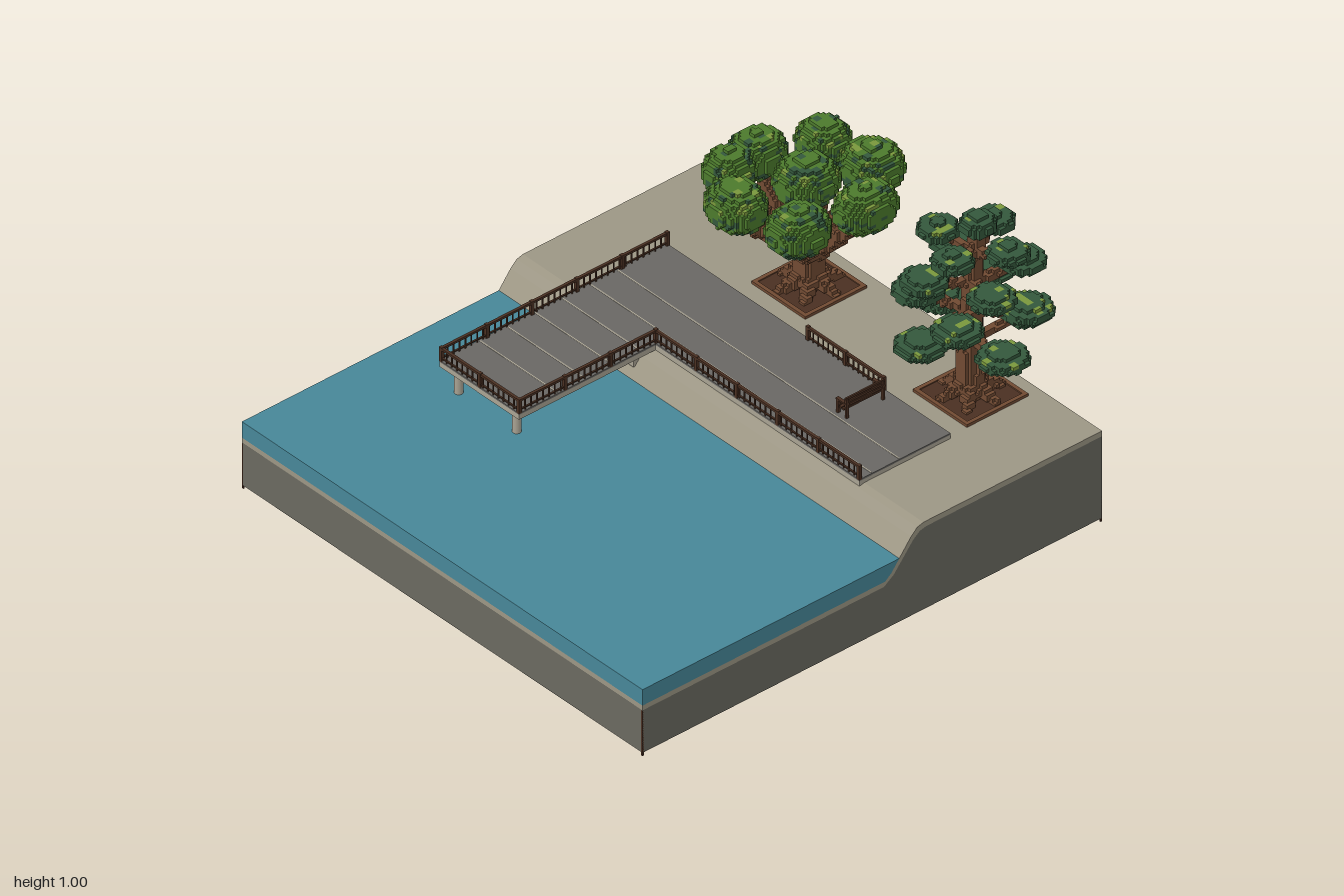
import * as THREE from 'three';

const mat = (name, color) => Object.assign(new THREE.MeshStandardMaterial({ color }), { name });
const M = {
  water: mat('water', 0x478798), sand: mat('sand', 0x9c9684), stone: mat('stone', 0x6a6960),
  deck: mat('deck', 0x696763), pale: mat('pale concrete', 0xaaa494), wood: mat('dark wood', 0x4a3022),
  bark: mat('bark', 0x704a32), leaf: mat('leaf green', 0x4c7a2c), pine: mat('pine green', 0x34583c),
  tip: mat('leaf tips', 0x7a983c),
};

function add(parent, name, geometry, material, x = 0, y = 0, z = 0) {
  const m = new THREE.Mesh(geometry, material);
  m.name = name;
  m.position.set(x, y, z);
  parent.add(m);
  return m;
}

// Box given by its minimum and maximum on each axis
function box(parent, name, material, x0, x1, y0, y1, z0, z1) {
  return add(parent, name, new THREE.BoxGeometry(x1 - x0, y1 - y0, z1 - z0), material,
    (x0 + x1) / 2, (y0 + y1) / 2, (z0 + z1) / 2);
}

function group(parent, name) {
  const g = new THREE.Group();
  g.name = name;
  parent.add(g);
  return g;
}

const HALF = 0.93, EAST = 0.865;

// A shore cross-section swept from back to front
function sweep(parent, name, points, material) {
  const shape = new THREE.Shape(points.map(p => new THREE.Vector2(...p)));
  add(parent, name, new THREE.ExtrudeGeometry(shape, { depth: HALF * 2, bevelEnabled: false }), material, 0, 0, -HALF);
}

function buildGround(root) {
  const g = group(root, 'ground');
  const top = [[-1, 0.19], [-0.015, 0.19], [0.01, 0.21], [0.09, 0.31], [0.115, 0.333], [0.14, 0.34], [EAST, 0.34]];
  const under = [[-1, 0.172], [-0.02, 0.172], [0.02, 0.2], [0.1, 0.295], [0.125, 0.314], [0.15, 0.32], [EAST, 0.32]];
  sweep(g, 'bedrock', [[-1, 0.012], [EAST, 0.012], ...under.slice().reverse()], M.stone);
  sweep(g, 'sandLayer', [...under, ...top.slice().reverse()], M.sand);
  sweep(g, 'water', [[-1, 0.19], [-0.015, 0.19], [0.01, 0.21], [0.042, 0.25], [-1, 0.25]], M.water);
  for (const x of [-1, EAST - 0.006])
    for (const z of [-HALF, HALF - 0.006])
      box(g, 'cornerPost', M.wood, x, x + 0.006, 0, 0.17, z, z + 0.006);
}

// Railing between two points along x or z
function railing(parent, x0, z0, x1, z1) {
  const g = group(parent, 'railing');
  const len = Math.hypot(x1 - x0, z1 - z0);
  const bar = (name, y, h, w) => box(g, name, M.wood, Math.min(x0, x1) - w, Math.max(x0, x1) + w,
    y - h, y + h, Math.min(z0, z1) - w, Math.max(z0, z1) + w);
  bar('topRail', 0.405, 0.004, 0.005);
  bar('bottomRail', 0.37, 0.002, 0.003);
  const upright = (name, t, w, top) => {
    const x = x0 + (x1 - x0) * t, z = z0 + (z1 - z0) * t;
    box(g, name, M.wood, x - w, x + w, 0.358, top, z - w, z + w);
  };
  const posts = Math.max(1, Math.round(len / 0.188));
  for (let i = 0; i <= posts; i++) upright('post', i / posts, 0.006, 0.411);
  const bars = Math.round(len / 0.024);
  for (let i = 1; i < bars; i++) upright('baluster', i / bars, 0.002, 0.403);
}

function buildPier(root) {
  const g = group(root, 'pier');
  // L-shaped slab and its paved top
  const slab = [[0.12, 0.49, -0.29, 0.655], [-0.435, 0.49, -0.66, -0.29]];
  for (const [x0, x1, z0, z1] of slab) {
    box(g, 'slab', M.pale, x0, x1, 0.336, 0.354, z0, z1);
    box(g, 'paving', M.deck, x0, x1, 0.354, 0.36, z0, z1);
  }
  // Pale joints across the paving
  for (let i = 0; i < 6; i++) {
    const x = -0.275 + i * 0.112;
    box(g, 'joint', M.pale, x - 0.0025, x + 0.0025, 0.359, 0.3608, -0.655, x > 0.13 ? 0.65 : -0.295);
  }
  // Piles in the water and short supports on the bank
  for (const z of [-0.61, -0.34]) {
    add(g, 'pile', new THREE.CylinderGeometry(0.015, 0.015, 0.155, 12), M.pale, -0.4, 0.263, z);
    box(g, 'pileCap', M.pale, -0.42, -0.38, 0.325, 0.337, z - 0.02, z + 0.02);
    box(g, 'bankSupport', M.pale, 0.06, 0.09, 0.28, 0.337, z - 0.015, z + 0.015);
  }
  railing(g, -0.43, -0.655, 0.485, -0.655);
  railing(g, -0.43, -0.655, -0.43, -0.295);
  railing(g, -0.43, -0.295, 0.125, -0.295);
  railing(g, 0.125, -0.295, 0.125, 0.65);
  railing(g, 0.485, 0, 0.485, 0.35);
}

function buildBench(root) {
  const g = group(root, 'bench');
  for (const x of [0.305, 0.452]) {
    box(g, 'frontLeg', M.wood, x - 0.005, x + 0.005, 0.36, 0.41, 0.342, 0.35);
    box(g, 'backLeg', M.wood, x - 0.005, x + 0.005, 0.36, 0.43, 0.382, 0.39);
    box(g, 'armrest', M.wood, x - 0.006, x + 0.006, 0.408, 0.414, 0.34, 0.39);
  }
  for (const z of [0.346, 0.359, 0.372]) box(g, 'seatSlat', M.wood, 0.3, 0.457, 0.384, 0.39, z - 0.005, z + 0.005);
  for (const y of [0.405, 0.417, 0.429]) box(g, 'backSlat', M.wood, 0.3, 0.457, y - 0.004, y + 0.004, 0.38, 0.386);
}

// Blocky tree sculpting: fill grid cells, then draw only the exposed faces
const S = 0.0118;
const hash = (a, b, c) => {
  const v = Math.sin(a * 12.99 + b * 78.23 + c * 37.72) * 43758.55;
  return v - Math.floor(v);
};

class Blocks {
  constructor() { this.cells = new Map(); }
  fill(min, max, test) {
    const [a, b] = [min.map(v => Math.floor(v / S)), max.map(v => Math.ceil(v / S))];
    for (let i = a[0]; i <= b[0]; i++)
      for (let j = a[1]; j <= b[1]; j++)
        for (let k = a[2]; k <= b[2]; k++) {
          const m = test((i + 0.5) * S, (j + 0.5) * S, (k + 0.5) * S, i, j, k);
          if (m) this.cells.set(`${i},${j},${k}`, m);
        }
  }
  // Tapered limb from p to q
  limb(p, q, r0, r1) {
    const P = new THREE.Vector3(...p), d = new THREE.Vector3(...q).sub(P), v = new THREE.Vector3();
    const r = Math.max(r0, r1), L = d.lengthSq();
    this.fill(p.map((c, n) => Math.min(c, q[n]) - r), p.map((c, n) => Math.max(c, q[n]) + r), (x, y, z) => {
      v.set(x, y, z).sub(P);
      const t = Math.min(1, Math.max(0, v.dot(d) / L));
      return y > 0.34 && v.addScaledVector(d, -t).length() < r0 + (r1 - r0) * t && 'bark';
    });
  }
  // Leafy ellipsoid with scattered bright tips
  puff(c, r, main, shade) {
    this.fill(c.map((v, n) => v - r[n]), c.map((v, n) => v + r[n]), (x, y, z, i, j, k) => {
      const h = (y - c[1]) / r[1];
      if (((x - c[0]) / r[0]) ** 2 + h * h + ((z - c[2]) / r[2]) ** 2 > 1) return null;
      const n = hash(i >> 1, j, k >> 1);
      return h > 0.1 && n > 0.9 ? 'tip' : n < (h < 0 ? 0.3 : 0.1) ? shade : main;
    });
  }
  build(parent, names) {
    const out = {};
    for (const [key, m] of this.cells) {
      const c = key.split(',').map(Number);
      const o = out[m] ??= { pos: [], nor: [], idx: [] };
      for (let d = 0; d < 3; d++)
        for (const s of [1, -1]) {
          const n = [0, 0, 0];
          n[d] = s;
          if (this.cells.has(c.map((v, a) => v + n[a]).join())) continue;
          const base = o.pos.length / 3;
          for (const [u, w] of [[0, 0], [1, 0], [1, 1], [0, 1]]) {
            const p = c.slice();
            p[d] += s > 0 ? 1 : 0;
            p[(d + 1) % 3] += u;
            p[(d + 2) % 3] += w;
            o.pos.push(...p.map(v => v * S));
            o.nor.push(...n);
          }
          o.idx.push(...(s > 0 ? [0, 1, 2, 0, 2, 3] : [0, 2, 1, 0, 3, 2]).map(v => v + base));
        }
    }
    for (const [m, o] of Object.entries(out)) {
      const geo = new THREE.BufferGeometry();
      geo.setAttribute('position', new THREE.Float32BufferAttribute(o.pos, 3));
      geo.setAttribute('normal', new THREE.Float32BufferAttribute(o.nor, 3));
      geo.setIndex(o.idx);
      add(parent, names[m], geo, M[m]);
    }
  }
}

// Planting bed and spreading roots shared by both trees
function treeBase(g, b, x, z) {
  box(g, 'plantingBed', M.wood, x - 0.115, x + 0.115, 0.335, 0.346, z - 0.115, z + 0.115);
  for (const s of [-1, 1]) {
    box(g, 'bedEdge', M.bark, x + s * 0.118 - 0.007, x + s * 0.118 + 0.007, 0.335, 0.35, z - 0.125, z + 0.125);
    box(g, 'bedEdge', M.bark, x - 0.125, x + 0.125, 0.335, 0.35, z + s * 0.118 - 0.007, z + s * 0.118 + 0.007);
  }
  for (let i = 0; i < 6; i++) {
    const a = i * Math.PI / 3 + 0.3;
    b.limb([x, 0.4, z], [x + Math.cos(a) * 0.1, 0.345, z + Math.sin(a) * 0.1], 0.033, 0.014);
  }
}

function buildBroadTree(root) {
  const g = group(root, 'broadTree'), b = new Blocks(), x = 0.69, z = -0.23;
  treeBase(g, b, x, z);
  b.limb([x, 0.34, z], [x, 0.52, z], 0.045, 0.042);
  // Puff centre, then horizontal radii
  const puffs = [[0.68, 0.745, -0.23, 0.105, 0.1], [0.67, 0.73, -0.45, 0.1, 0.085], [0.87, 0.725, -0.37, 0.085, 0.09],
    [0.9, 0.72, -0.18, 0.1, 0.105], [0.735, 0.73, -0.02, 0.11, 0.085], [0.51, 0.72, -0.075, 0.105, 0.095],
    [0.455, 0.715, -0.3, 0.09, 0.105], [0.545, 0.73, -0.435, 0.085, 0.08]];
  for (const [px, py, pz] of puffs) b.limb([x, 0.46, z], [px, py - 0.04, pz], 0.036, 0.024);
  for (const [px, py, pz, rx, rz] of puffs) b.puff([px, py, pz], [rx, 0.08, rz], 'leaf', 'pine');
  b.build(g, { bark: 'trunk', leaf: 'foliage', pine: 'shadedLeaves', tip: 'brightLeaves' });
}

function buildTieredTree(root) {
  const g = group(root, 'tieredTree'), b = new Blocks(), x = 0.69, z = 0.52;
  treeBase(g, b, x, z);
  b.limb([x, 0.34, z], [x, 0.6, z], 0.046, 0.036);
  b.limb([x, 0.6, z], [x + 0.025, 0.95, z], 0.036, 0.02);
  // Height, spread, pad radius and turn of each tier
  const tiers = [[0.585, 0.185, 0.082, 0.2], [0.692, 0.175, 0.08, 1.0], [0.8, 0.16, 0.075, 0.35], [0.912, 0.125, 0.066, 1.25]];
  for (const [y, spread, r, turn] of tiers)
    for (let i = 0; i < 4; i++) {
      const a = turn + i * Math.PI / 2;
      const p = [x + 0.01 + Math.cos(a) * spread, y, z + Math.sin(a) * spread];
      b.limb([x + 0.01, y - 0.04, z], [p[0], y - 0.012, p[2]], 0.018, 0.011);
      b.puff(p, [r, 0.028, r], 'pine', 'pine');
    }
  b.puff([x + 0.03, 0.966, z], [0.06, 0.035, 0.055], 'pine', 'pine');
  b.build(g, { bark: 'trunk', pine: 'foliagePads', tip: 'brightLeaves' });
}

export function createModel() {
  const root = new THREE.Group();
  root.name = 'waterfrontPark';
  [buildGround, buildPier, buildBench, buildBroadTree, buildTieredTree].forEach(f => f(root));
  return root;
}
